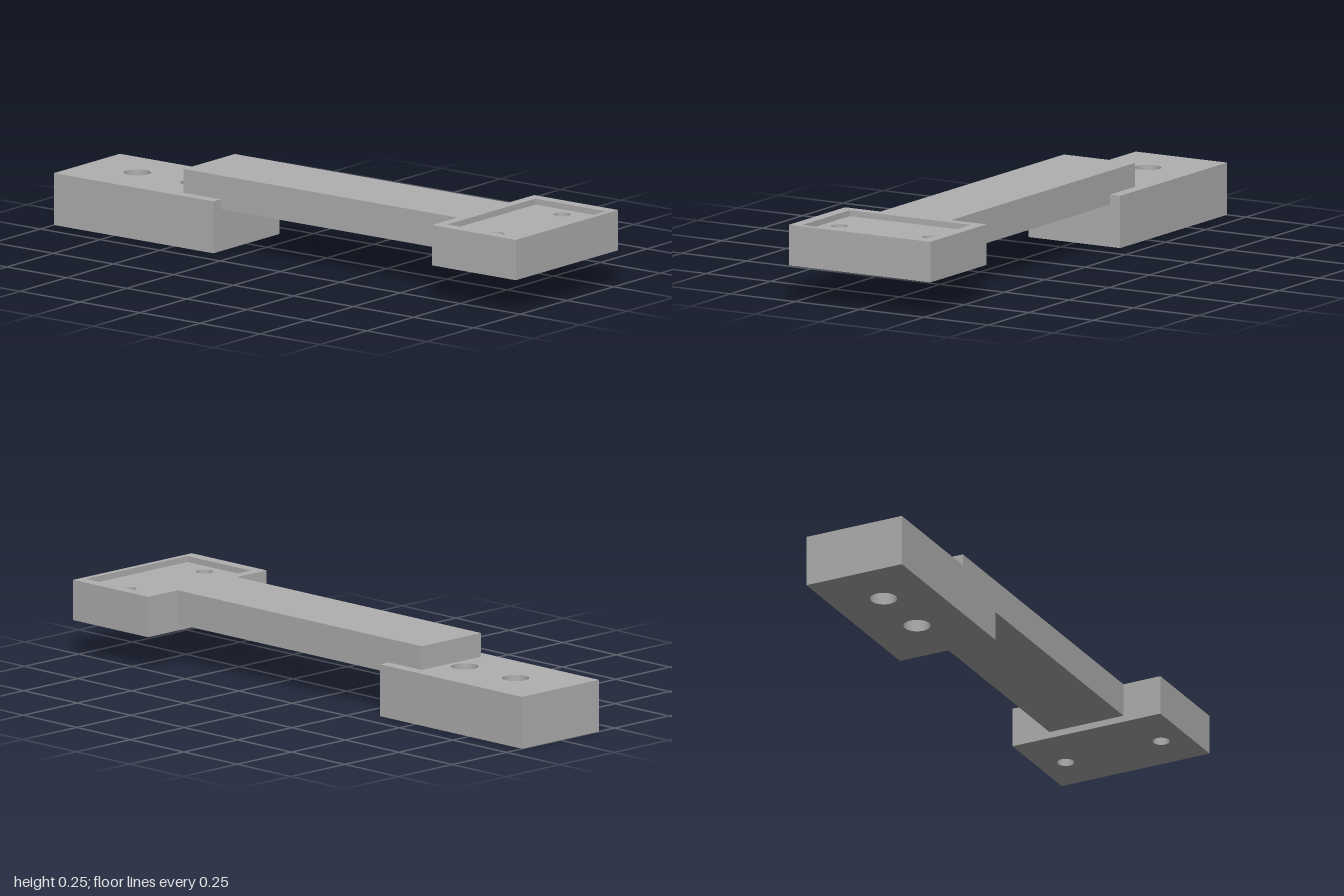
import * as THREE from 'three';

const grey = new THREE.MeshStandardMaterial({ color: 0xb0b0b0 });
grey.name = 'plain grey';

// Corners of a rectangle centred on x = 0; shape y is -z of the model
function trace(path, halfWidth, z0, z1) {
  path.moveTo(-halfWidth, -z1);
  path.lineTo(halfWidth, -z1);
  path.lineTo(halfWidth, -z0);
  path.lineTo(-halfWidth, -z0);
  path.closePath();
  return path;
}

function roundHole(x, z, r) {
  return new THREE.Path().absarc(x, -z, r, 0, Math.PI * 2, true);
}

// Horizontal plate from y0 to y1 with vertical cut-outs
function plate(name, halfWidth, z0, z1, y0, y1, holes = []) {
  const shape = trace(new THREE.Shape(), halfWidth, z0, z1);
  shape.holes.push(...holes);
  const geometry = new THREE.ExtrudeGeometry(shape, {
    depth: y1 - y0, bevelEnabled: false, curveSegments: 24,
  });
  geometry.rotateX(-Math.PI / 2);
  geometry.translate(0, y0, 0);
  const mesh = new THREE.Mesh(geometry, grey);
  mesh.name = name;
  return mesh;
}

export function createModel() {
  const model = new THREE.Group();
  model.name = 'mountingArm';

  // Rear block with two bolt holes
  model.add(plate('rearBlock', 0.177, -1, -0.335, 0, 0.175,
    [-0.79, -0.553].map((z) => roundHole(0, z, 0.045))));

  // Long arm resting in the rear block
  model.add(plate('arm', 0.137, -0.49, 0.65, 0.141, 0.255));

  // Front head: drilled tray floor and the raised rim around its recess
  const head = new THREE.Group();
  head.name = 'frontHead';
  head.add(plate('trayFloor', 0.274, 0.65, 1, 0.119, 0.235,
    [-1, 1].map((side) => roundHole(side * 0.177, 0.842, 0.028))));
  head.add(plate('trayRim', 0.274, 0.65, 1, 0.235, 0.255,
    [trace(new THREE.Path(), 0.235, 0.685, 0.98)]));
  model.add(head);

  return model;
}
